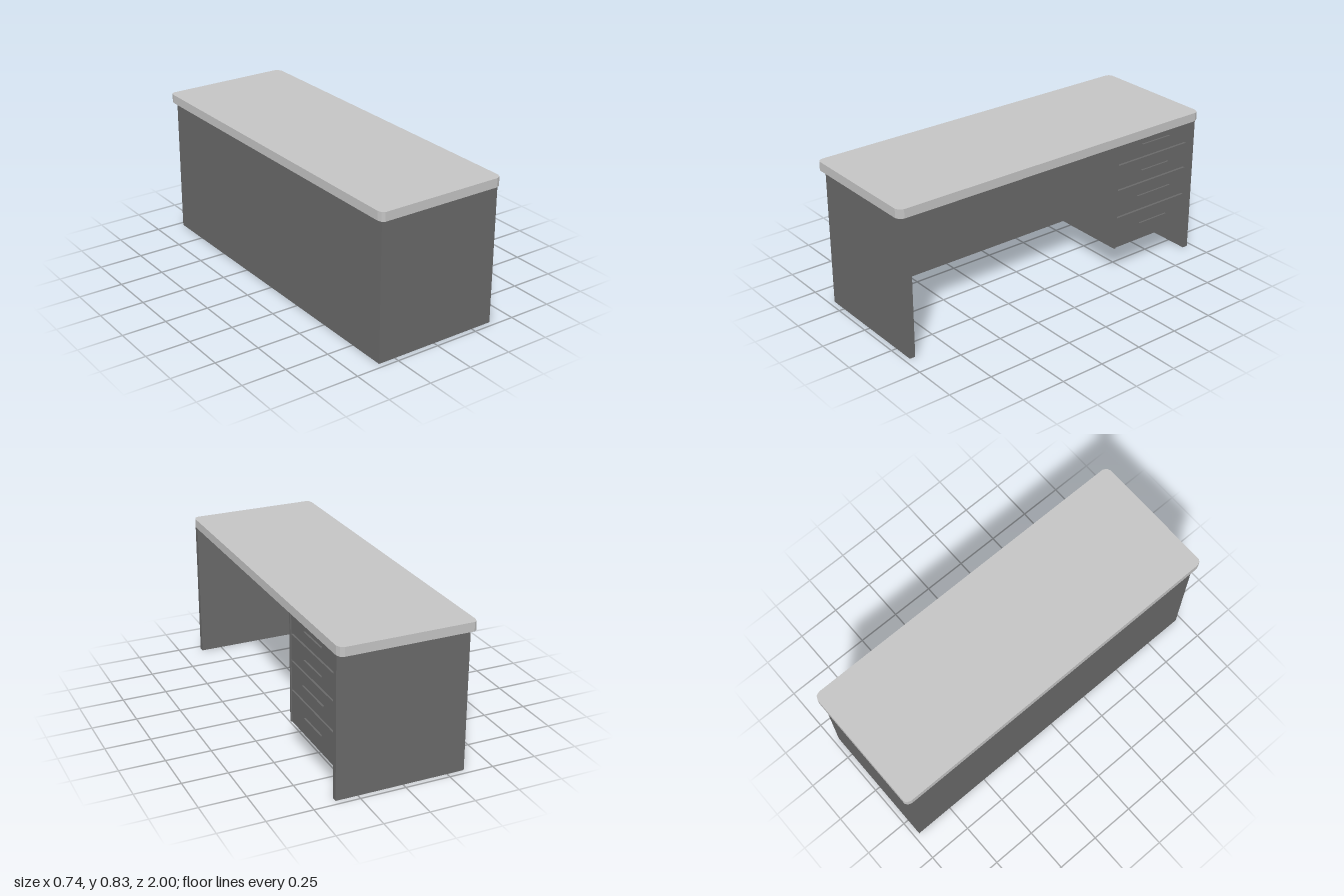
import * as THREE from 'three';

export function createModel() {
  const desk = new THREE.Group();
  desk.name = 'desk';
  const topMat = new THREE.MeshStandardMaterial({ color: 0xc4c4c4 });
  topMat.name = 'light grey top';
  const bodyMat = new THREE.MeshStandardMaterial({ color: 0x696969 });
  bodyMat.name = 'dark grey body';

  // Box given by its minimum and maximum corners
  function box(name, [x0, y0, z0], [x1, y1, z1], parent = desk) {
    const mesh = new THREE.Mesh(new THREE.BoxGeometry(x1 - x0, y1 - y0, z1 - z0), bodyMat);
    mesh.position.set((x0 + x1) / 2, (y0 + y1) / 2, (z0 + z1) / 2);
    mesh.name = name;
    parent.add(mesh);
    return mesh;
  }

  const topY = 0.783, frontX = 0.371, backX = -0.347;

  // Worktop slab with faceted corners, outlined in x and z
  const corner = [[0.372, 0.968], [0.362, 0.99], [0.34, 1]];
  const back = [[-0.35, 1], [-0.365, 0.99], [-0.372, 0.968]];
  const half = [...corner, ...back];
  const outline = [...half, ...half.map(([x, z]) => [x, -z]).reverse()];
  const shape = new THREE.Shape(outline.map(([x, z]) => new THREE.Vector2(x, z)));
  const slab = new THREE.ExtrudeGeometry(shape, { depth: 0.05, bevelEnabled: false });
  slab.rotateX(-Math.PI / 2);
  const worktop = new THREE.Mesh(slab, topMat);
  worktop.name = 'worktop';
  worktop.position.y = topY;
  desk.add(worktop);

  // End panels and back panel, down to the floor
  box('leftEndPanel', [backX, 0, 0.938], [frontX, topY, 0.97]);
  box('rightEndPanel', [backX, 0, -0.97], [frontX, topY, -0.938]);
  box('backPanel', [backX, 0, -0.938], [-0.318, topY, 0.938]);

  // Hanging drawer cabinet: carcass, side walls and base
  const cabinet = new THREE.Group();
  cabinet.name = 'drawerCabinet';
  desk.add(cabinet);
  const c0 = -0.938, c1 = -0.4, cabY = 0.165, cabX = 0.364;
  box('carcass', [-0.318, cabY, c0 + 0.015], [0.344, topY, c1 - 0.012], cabinet);
  box('cabinetInnerSide', [-0.318, cabY, c1 - 0.012], [cabX, topY, c1], cabinet);
  box('cabinetOuterSide', [-0.318, cabY, c0], [cabX, topY, c0 + 0.015], cabinet);

  // Drawer fronts with a thin bar handle each: bottom, top, handle height, handle half length
  const drawers = [
    [0.165, 0.345, 0.265, 0.1],
    [0.357, 0.51, 0.438, 0.122],
    [0.522, 0.66, 0.588, 0.1],
    [0.672, 0.783, 0.742, 0.1],
  ];
  const midZ = -0.684;
  drawers.forEach(([y0, y1, hy, hl], i) => {
    box('drawerFront' + (i + 1), [0.344, y0, c0 + 0.015], [0.358, y1, c1 - 0.012], cabinet);
    box('drawerHandle' + (i + 1), [0.358, hy - 0.003, midZ - hl], [0.368, hy + 0.003, midZ + hl], cabinet);
  });

  return desk;
}
